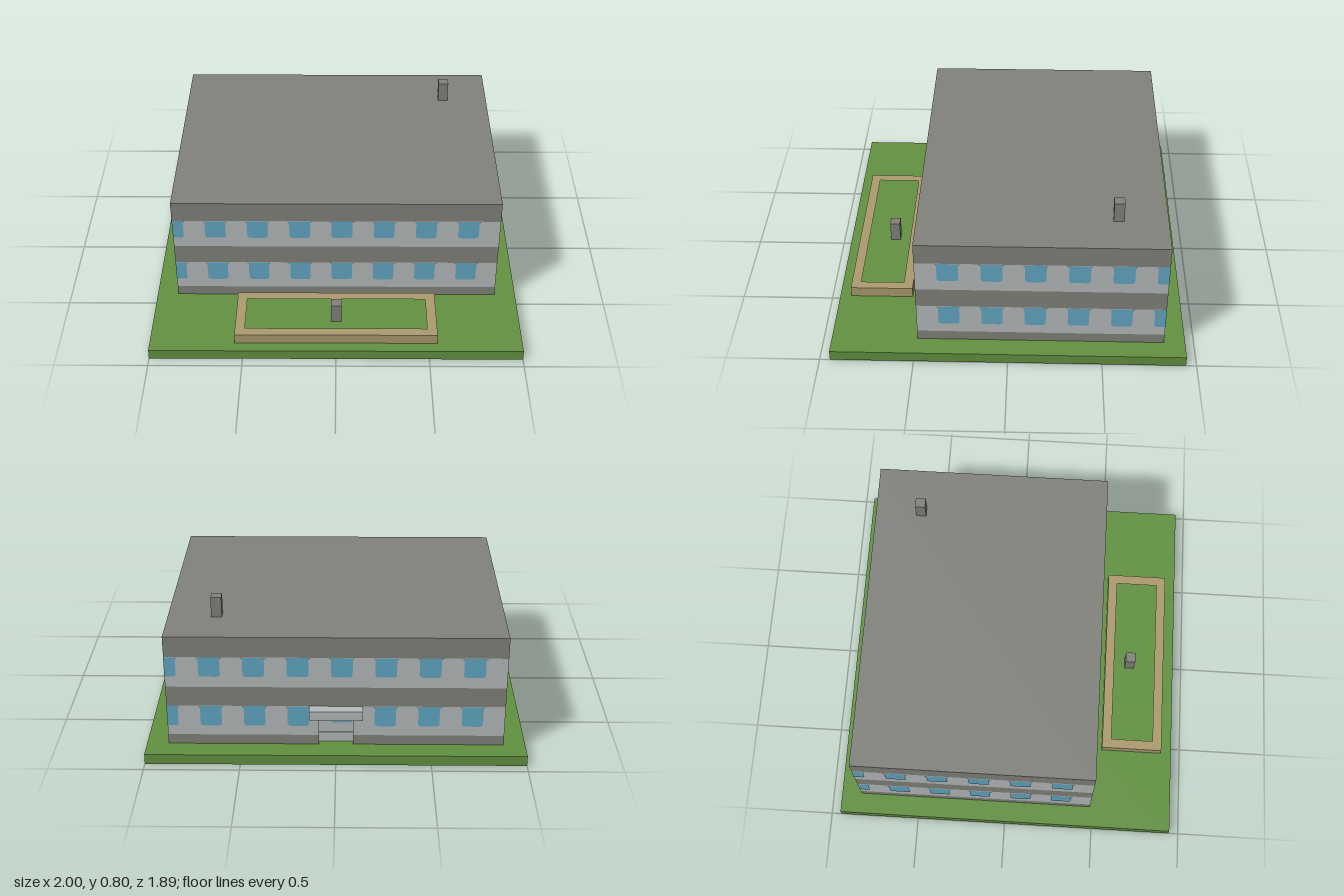
import * as THREE from 'three';

const mat = (name, color) => new THREE.MeshStandardMaterial({ name, color });

export function createModel() {
  const grass = mat('grass', 0x629141);
  const concrete = mat('concrete', 0x82827b);
  const wall = mat('wall', 0xb6babb);
  const glass = mat('glass', 0x62a7c3);
  const timber = mat('timber', 0xab9a6e);

  const model = new THREE.Group();
  model.name = 'building';

  const add = (name, geometry, material, parent = model) => {
    const mesh = new THREE.Mesh(geometry, material);
    mesh.name = name;
    parent.add(mesh);
    return mesh;
  };
  // Box given by its limits on each axis
  const box = (name, material, x0, x1, y0, y1, z0, z1) => {
    const m = add(name, new THREE.BoxGeometry(x1 - x0, y1 - y0, z1 - z0), material);
    m.position.set((x0 + x1) / 2, (y0 + y1) / 2, (z0 + z1) / 2);
  };
  // Horizontal slab extruded upward from a plan outline of [x, z] points
  const slab = (name, material, points, y0, y1, hole) => {
    const toVectors = (list) => list.map(([x, z]) => new THREE.Vector2(x, -z));
    const shape = new THREE.Shape(toVectors(points));
    if (hole) shape.holes.push(new THREE.Path(toVectors(hole)));
    const g = new THREE.ExtrudeGeometry(shape, { depth: y1 - y0, bevelEnabled: false });
    g.rotateX(-Math.PI / 2);
    add(name, g, material).position.y = y0;
  };
  const rect = (x0, x1, z0, z1) => [[x0, z0], [x1, z0], [x1, z1], [x0, z1]];

  // Lawn
  const G = 0.057;
  box('lawn', grass, -1, 1, 0, G, -0.945, 0.945);

  // Storeys, with a doorway recess at the back of the lowest layers
  const W = 0.885, F = 0.485, B = -0.832;
  const D = 0.09, R = 0.035, doorTop = 0.235;
  const plan = rect(-W, W, B, F);
  const notched = [[-W, F], [W, F], [W, B], [D, B], [D, B + R], [-D, B + R], [-D, B], [-W, B]];
  slab('plinth', concrete, notched, G, 0.113);
  slab('groundFloorWall', wall, notched, 0.113, doorTop);
  slab('groundFloorUpperWall', wall, plan, doorTop, 0.288);
  slab('middleBand', concrete, plan, 0.288, 0.4);
  slab('upperFloorWall', wall, plan, 0.4, 0.574);
  slab('roofBand', concrete, plan, 0.574, 0.69);
  box('doorPanel', wall, -D, D, G, 0.113, B + R - 0.004, B + R);
  box('doorCanopy', wall, -0.14, 0.14, doorTop, 0.288, -0.89, B);

  // Window with rounded lower corners, clipped where it meets a building corner
  const windowShape = (cx, lo, hi, y0, y1) => {
    const a = Math.max(cx - 0.056, lo), b = Math.min(cx + 0.056, hi);
    const ra = a > lo ? 0.018 : 0.0001, rb = b < hi ? 0.018 : 0.0001;
    const s = new THREE.Shape();
    s.moveTo(a, y1);
    s.lineTo(a, y0 + ra);
    s.quadraticCurveTo(a, y0, a + ra, y0);
    s.lineTo(b - rb, y0);
    s.quadraticCurveTo(b, y0, b, y0 + rb);
    s.lineTo(b, y1);
    return new THREE.ShapeGeometry(s, 4);
  };
  // Small bevel where the band dips beside a window
  const bevel = (x, dir, y) => new THREE.ShapeGeometry(new THREE.Shape([
    new THREE.Vector2(x, y), new THREE.Vector2(x + dir * 0.012, y), new THREE.Vector2(x, y - 0.012),
  ]));

  const rows = [[0.17, 0.288], [0.462, 0.574]];
  const pitch = 0.2281;
  const facade = (name, angle, x, z, count, first, lo, hi) => {
    const g = new THREE.Group();
    g.name = name;
    g.rotation.y = angle;
    g.position.set(x, 0, z);
    model.add(g);
    rows.forEach(([y0, y1], row) => {
      for (let k = 0; k < count; k++) {
        const cx = first + k * pitch;
        const inDoorway = name === 'backWindows' && row === 0 && Math.abs(cx) < 0.06;
        const pane = add('window', windowShape(cx, lo, hi, y0, inDoorway ? doorTop : y1), glass, g);
        pane.position.z = inDoorway ? 0.003 - R : 0.003;
        if (inDoorway) continue;
        for (const dir of [-1, 1]) {
          const edge = cx + dir * 0.056;
          if (edge > lo && edge < hi) add('windowHeadBevel', bevel(edge, dir, y1), concrete, g).position.z = 0.003;
        }
      }
    });
  };
  facade('frontWindows', 0, 0, F, 8, -0.882, -W, W);
  facade('backWindows', Math.PI, 0, B, 8, -0.882, -W, W);
  facade('leftWindows', Math.PI / 2, W, 0, 6, -0.313, -F, -B);
  facade('rightWindows', -Math.PI / 2, -W, 0, 6, 0.313 - 5 * pitch, B, F);

  // Chimney
  box('chimney', concrete, 0.6, 0.656, 0.69, 0.803, -0.6, -0.544);

  // Planting bed with a post in the middle
  slab('bedFrame', timber, rect(-0.543, 0.543, 0.54, 0.883), G, 0.115, rect(-0.49, 0.49, 0.592, 0.831));
  box('post', concrete, -0.029, 0.029, G, 0.172, 0.657, 0.713);

  return model;
}
